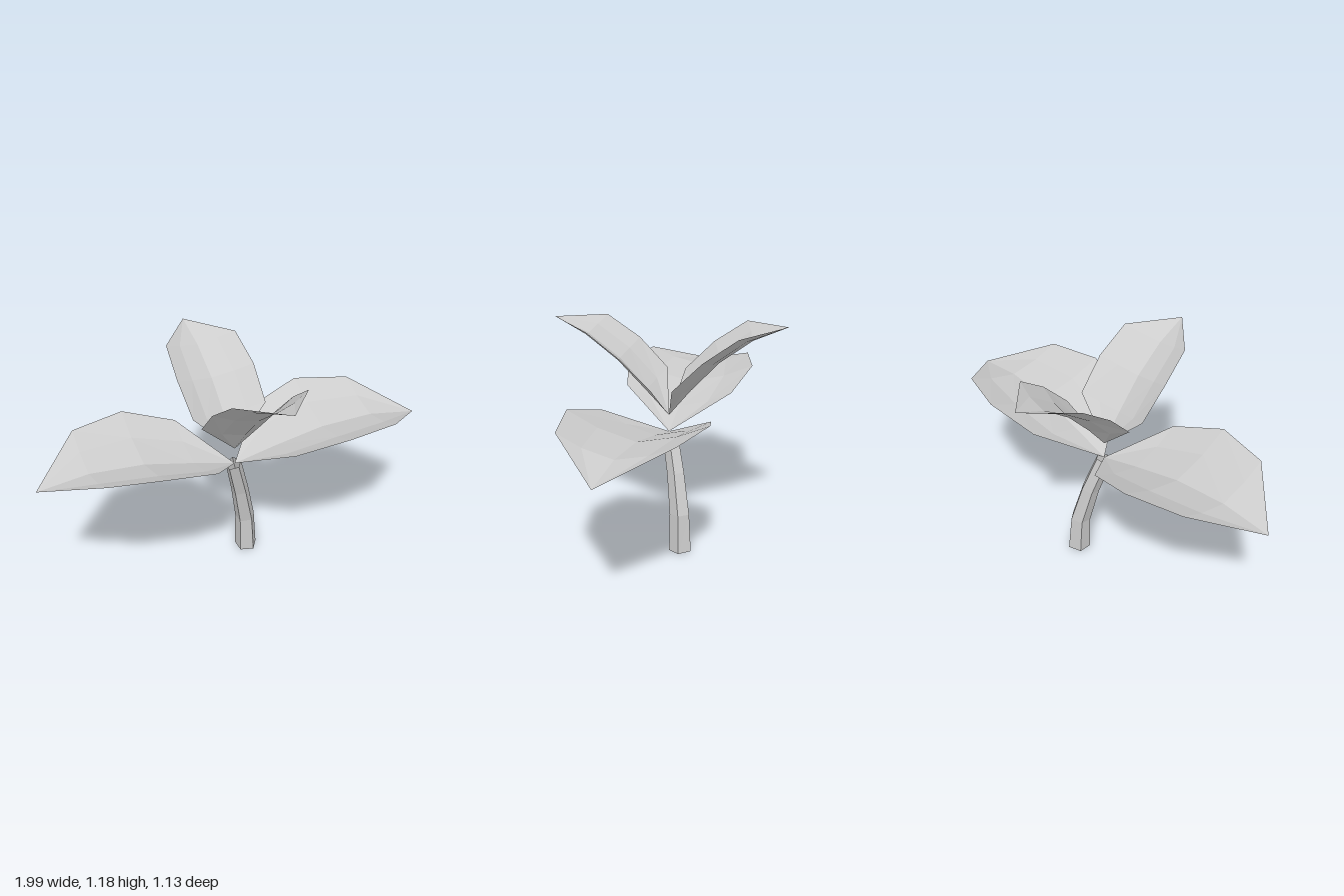
import * as THREE from 'three';

// Surface through rows of points, quads between neighbouring rows
function loft(rows, closed) {
  const n = rows[0].length, index = [];
  for (let i = 0; i < rows.length - 1; i++) {
    for (let j = 0; j < (closed ? n : n - 1); j++) {
      const k = (j + 1) % n;
      const a = i * n + j, b = i * n + k, c = a + n, d = b + n;
      index.push(a, b, d, a, d, c);
    }
  }
  const g = new THREE.BufferGeometry();
  g.setAttribute('position', new THREE.Float32BufferAttribute(rows.flat(2), 3));
  g.setIndex(index);
  const flat = g.toNonIndexed();
  flat.computeVertexNormals();
  return flat;
}

// Cupped leaf along +x; stations: [edge x, edge y, rib x, rib y, half width]
function leafGeometry(stations) {
  return loft(stations.map(([ex, ey, rx, ry, w]) =>
    [[-1, 1], [-0.55, 0.4], [0, 0], [0.55, 0.4], [1, 1]].map(([across, rise]) =>
      [rx + (ex - rx) * rise, ry + (ey - ry) * rise, w * across])), false);
}

export function createModel() {
  const model = new THREE.Group();
  model.name = 'plant';
  const grey = new THREE.MeshStandardMaterial({ color: 0xcccccc, flatShading: true, side: THREE.DoubleSide });
  grey.name = 'light grey';

  const add = (name, geometry, turn = 0) => {
    const mesh = new THREE.Mesh(geometry, grey);
    mesh.name = name;
    mesh.rotation.y = turn;
    model.add(mesh);
  };

  // Curved five-sided stem: [x, y, z, radius, slope x, slope z]
  const rings = [
    [0.088, 0.006, -0.108, 0.06, 0, 0.06],
    [0.08, 0.205, -0.1, 0.053, -0.1, 0.1],
    [0.042, 0.41, -0.06, 0.046, -0.2, 0.22],
    [-0.006, 0.61, -0.005, 0.041, -0.25, 0.27],
  ].map(([x, y, z, r, sx, sz]) => Array.from({ length: 5 }, (_, k) => {
    const a = (30 + 72 * k) * Math.PI / 180;
    const dx = r * Math.sin(a), dz = r * Math.cos(a);
    return [x + dx, y - sx * dx - sz * dz, z + dz];
  }));
  add('stem', loft(rings, true));

  // Two wide lower leaves
  const lower = leafGeometry([
    [0, 0.612, 0, 0.612, 0],
    [0.212, 0.77, 0.222, 0.672, 0.279],
    [0.47, 0.847, 0.48, 0.732, 0.347],
    [0.747, 0.84, 0.755, 0.752, 0.277],
    [1.01, 0.72, 1.01, 0.72, 0],
  ]);
  add('lowerLeafLeft', lower, 0.119);
  add('lowerLeafRight', lower, Math.PI + 0.195);

  // Two upright upper leaves
  const upper = leafGeometry([
    [0, 0.7, 0, 0.7, 0],
    [0.05, 0.89, 0.11, 0.835, 0.202],
    [0.198, 1.04, 0.25, 0.985, 0.213],
    [0.363, 1.157, 0.41, 1.105, 0.194],
    [0.58, 1.18, 0.58, 1.18, 0],
  ]);
  add('upperLeafFront', upper, -1.343);
  add('upperLeafBack', upper, 1.822);

  return model;
}
